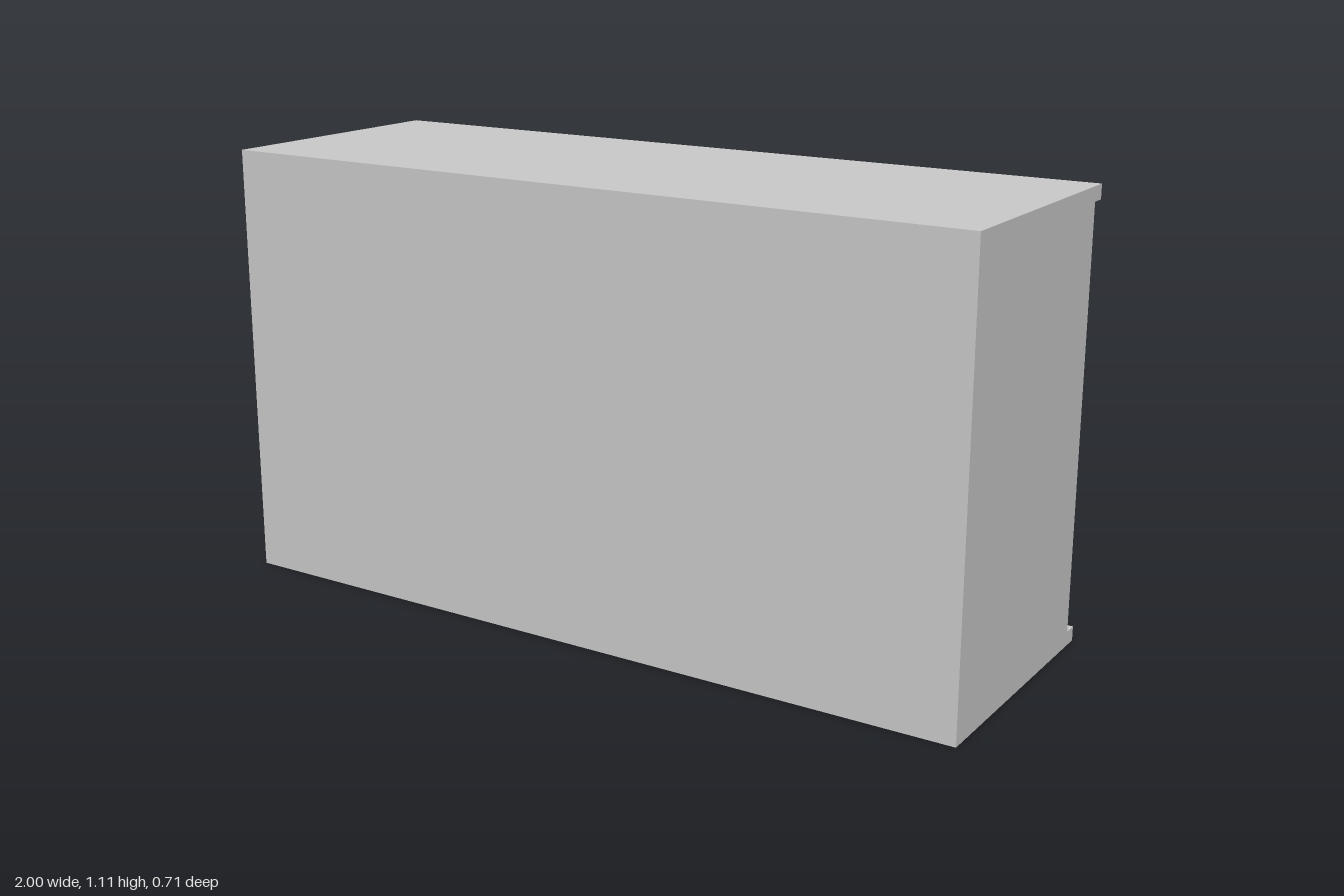
import * as THREE from 'three';

const material = new THREE.MeshStandardMaterial({ color: 0xcccccc, side: THREE.DoubleSide });

const FRONT = 0.31;      // plane of the door and drawer faces (local z)
const THICK = 0.03;      // door thickness
const RECESS = 0.016;    // depth of the sunken panels
const BEVEL = 0.012;     // width of the sloped moulding

function mesh(name, geometry, x = 0, y = 0, z = 0) {
  const m = new THREE.Mesh(geometry, material);
  m.name = name;
  m.position.set(x, y, z);
  return m;
}

// Moves every side of a counter-clockwise right-angled outline inwards by d.
function inset(points, d) {
  const n = points.length;
  return points.map((p, i) => {
    const a = points[(i + n - 1) % n], b = points[(i + 1) % n];
    const u = p.clone().sub(a).normalize(), v = b.clone().sub(p).normalize();
    return new THREE.Vector2(p.x - (u.y + v.y) * d, p.y + (u.x + v.x) * d);
  });
}

// Sloped band joining two outlines at different depths.
function band(outer, inner, zOuter, zInner) {
  const pos = [];
  outer.forEach((a, i) => {
    const j = (i + 1) % outer.length;
    const b = outer[j], c = inner[j], d = inner[i];
    pos.push(a.x, a.y, zOuter, b.x, b.y, zOuter, c.x, c.y, zInner);
    pos.push(a.x, a.y, zOuter, c.x, c.y, zInner, d.x, d.y, zInner);
  });
  const g = new THREE.BufferGeometry();
  g.setAttribute('position', new THREE.Float32BufferAttribute(pos, 3));
  g.computeVertexNormals();
  return g;
}

// Door or drawer front: flat frame, sloped moulding and sunken panel.
function panelledFront(name, corners, border) {
  const group = new THREE.Group();
  group.name = name;
  const outline = corners.map(([x, y]) => new THREE.Vector2(x, y));
  const opening = inset(outline, border);
  const floor = inset(opening, BEVEL);

  const frame = new THREE.Shape(outline);
  frame.holes.push(new THREE.Path(opening));
  const frameGeometry = new THREE.ExtrudeGeometry(frame, { depth: THICK, bevelEnabled: false });
  group.add(
    mesh('frame', frameGeometry, 0, 0, FRONT - THICK),
    mesh('moulding', band(opening, floor, FRONT, FRONT - RECESS)),
    mesh('sunkenPanel', new THREE.ShapeGeometry(new THREE.Shape(floor)), 0, 0, FRONT - RECESS)
  );
  return group;
}

// Bar handle on two thin posts.
function handle(x, y) {
  const group = new THREE.Group();
  group.name = 'handle';
  const bar = mesh('bar', new THREE.CylinderGeometry(0.011, 0.011, 0.225, 20), 0, 0, 0.033);
  bar.rotation.z = Math.PI / 2;
  group.add(bar);
  for (const side of [-1, 1]) {
    const post = mesh('post', new THREE.CylinderGeometry(0.004, 0.004, 0.05, 10), side * 0.09, 0, 0.008);
    post.rotation.x = Math.PI / 2;
    group.add(post);
  }
  group.position.set(x, y, FRONT);
  return group;
}

export function createModel() {
  const model = new THREE.Group();
  model.name = 'sideboard';

  // Carcass with slightly overhanging top and base boards
  const body = new THREE.BoxGeometry(2, 1.04, 0.641);
  const board = new THREE.BoxGeometry(2, 0.036, 0.679);
  model.add(
    mesh('carcass', body, 0, 0.555, 0.0355),
    mesh('topBoard', board, 0, 1.092, 0.0165),
    mesh('baseBoard', board, 0, 0.018, 0.0165)
  );

  // Fronts are built facing +z, then turned to the back
  const fronts = new THREE.Group();
  fronts.name = 'fronts';
  fronts.rotation.y = Math.PI;
  model.add(fronts);

  const mid = 0.006, gap = 0.004;
  const drawerHalf = 0.534, doorEdge = 0.982;
  const top = 1.071, split = 0.732, low = 0.388, bottom = 0.04;

  // Two stacked drawers
  for (const [y0, y1] of [[split + gap, top], [low + gap, split - gap]]) {
    const l = mid - drawerHalf, r = mid + drawerHalf;
    fronts.add(panelledFront('drawerFront', [[l, y0], [r, y0], [r, y1], [l, y1]], 0.096));
  }

  // L-shaped doors wrapping round the drawers
  for (const side of [-1, 1]) {
    const inner = mid + side * gap;
    const step = mid + side * (drawerHalf + 2 * gap);
    const outer = side * doorEdge;
    const corners = [
      [inner, bottom], [outer, bottom], [outer, top],
      [step, top], [step, low - gap], [inner, low - gap]
    ];
    if (side < 0) corners.reverse();
    fronts.add(panelledFront(side < 0 ? 'leftDoor' : 'rightDoor', corners, 0.097));

    // Handles: one per side on each drawer and on the door
    for (const y of [0.91, 0.57, 0.34]) fronts.add(handle(0.008 + side * 0.27, y));
  }

  return model;
}
